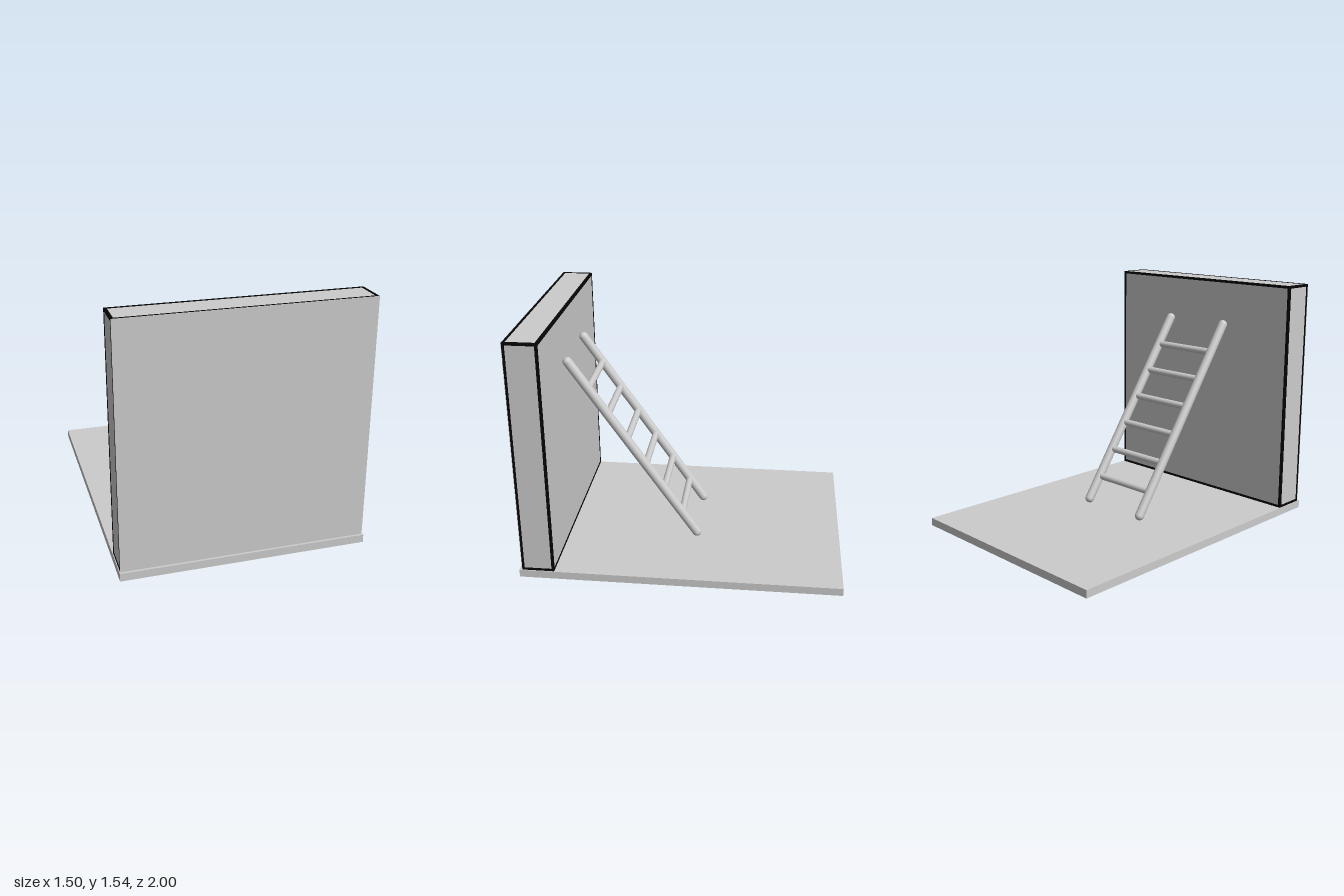
import * as THREE from 'three';

const grey = new THREE.MeshStandardMaterial({ color: 0xcccccc });
const black = new THREE.MeshStandardMaterial({ color: 0x050505 });

// Box given by its lower and upper corners
function box(name, min, max, material = grey) {
  const size = max.map((v, i) => v - min[i]);
  const mesh = new THREE.Mesh(new THREE.BoxGeometry(...size), material);
  mesh.position.set(...max.map((v, i) => (v + min[i]) / 2));
  mesh.name = name;
  return mesh;
}

// Wall with dark strips along its edges and a plain front panel
function createWall() {
  const wall = new THREE.Group();
  wall.name = 'wall';
  const lo = [-0.745, 0.05, 0.78], hi = [0.745, 1.545, 0.983];
  const strip = 0.016, inset = 0.002;
  wall.add(box('wallCore', lo.map(v => v + inset), hi.map(v => v - inset)));
  wall.add(box('wallFront', [lo[0], lo[1], hi[2] - 0.001], [hi[0], hi[1], hi[2] + 0.002]));
  for (let axis = 0; axis < 3; axis++) {
    const a = (axis + 1) % 3, b = (axis + 2) % 3;
    for (const atA of [0, 1]) for (const atB of [0, 1]) {
      const min = [...lo], max = [...hi];
      if (atA) min[a] = hi[a] - strip; else max[a] = lo[a] + strip;
      if (atB) min[b] = hi[b] - strip; else max[b] = lo[b] + strip;
      wall.add(box('wallEdge', min, max, black));
    }
  }
  return wall;
}

// Leaning ladder with round-ended rails
function createLadder() {
  const ladder = new THREE.Group();
  ladder.name = 'ladder';
  const foot = new THREE.Vector3(0, 0.082, -0.062);
  const head = new THREE.Vector3(0, 1.25, 0.743);
  const along = head.clone().sub(foot);
  const railGeometry = new THREE.CapsuleGeometry(0.03, along.length(), 8, 24);
  for (const side of [-1, 1]) {
    const rail = new THREE.Mesh(railGeometry, grey);
    rail.name = side > 0 ? 'leftRail' : 'rightRail';
    rail.position.lerpVectors(foot, head, 0.5);
    rail.position.x = side * 0.238;
    rail.quaternion.setFromUnitVectors(new THREE.Vector3(0, 1, 0), along.clone().normalize());
    ladder.add(rail);
  }
  const rungGeometry = new THREE.CylinderGeometry(0.022, 0.022, 0.47, 24).rotateZ(Math.PI / 2);
  for (let i = 0; i < 6; i++) {
    const rung = new THREE.Mesh(rungGeometry, grey);
    rung.name = 'rung';
    rung.position.lerpVectors(foot, head, 0.12 + i * 0.146);
    ladder.add(rung);
  }
  return ladder;
}

export function createModel() {
  const model = new THREE.Group();
  model.name = 'wallAndLadder';
  model.add(box('floor', [-0.75, 0, -1], [0.75, 0.05, 1]), createWall(), createLadder());
  return model;
}
